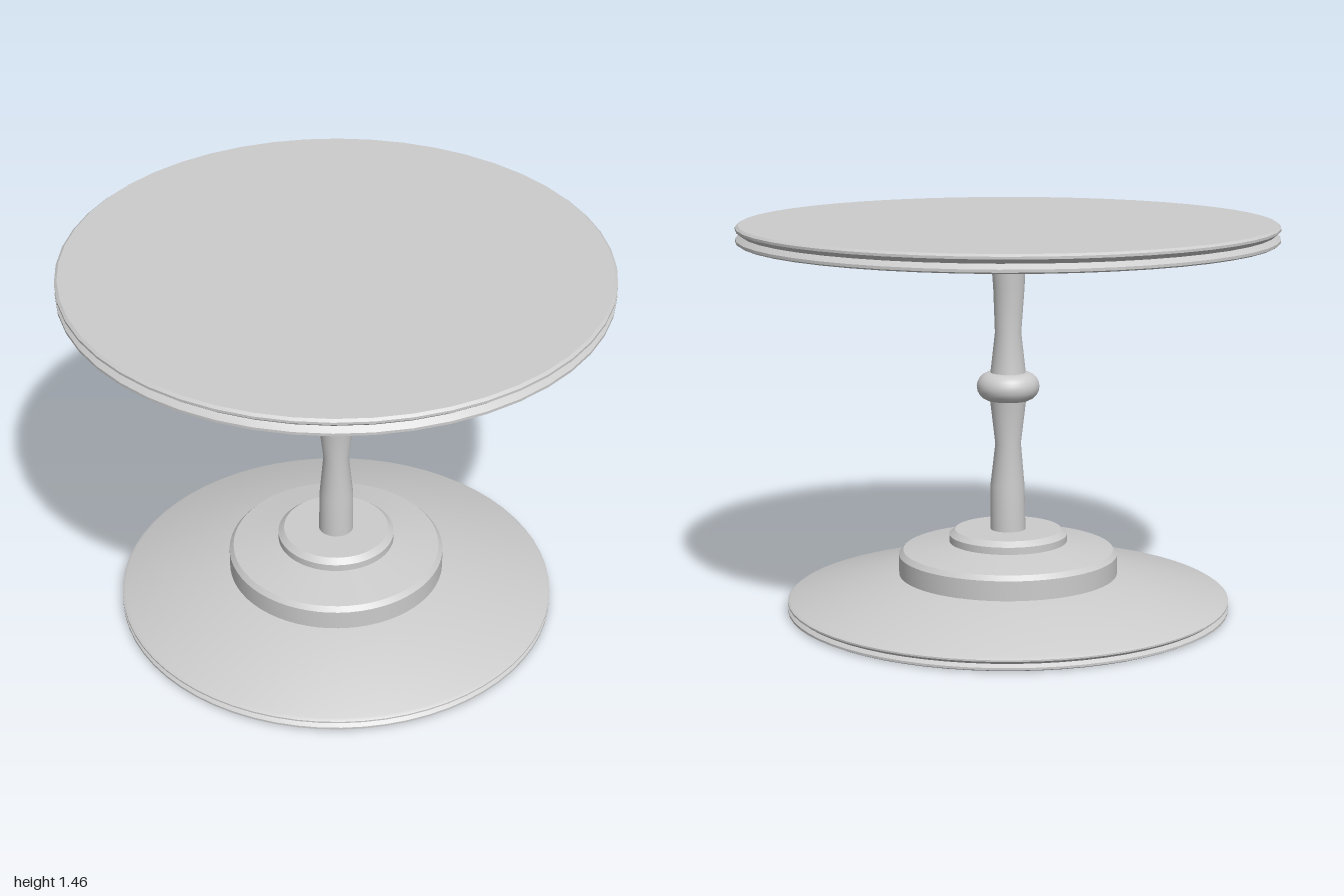
import * as THREE from 'three';
import { toCreasedNormals } from 'three/addons/utils/BufferGeometryUtils.js';

const material = new THREE.MeshStandardMaterial({ color: 0xcccccc });

// Turn a [radius, height] profile, listed bottom to top, around the y axis
function lathe(profile, segments = 48) {
  return new THREE.LatheGeometry(profile.map(([r, y]) => new THREE.Vector2(r, y)), segments);
}

function addPart(group, name, geometry) {
  const mesh = new THREE.Mesh(geometry, material);
  mesh.name = name;
  group.add(mesh);
  return mesh;
}

// Stem section lofted through round rings [y, radius, z offset]
function stemSection(rings) {
  const geometry = lathe(rings.map(([y, r]) => [r, y]), 32);
  const pos = geometry.attributes.position;
  for (let i = 0; i < pos.count; i++) {
    pos.setZ(i, pos.getZ(i) + rings[i % rings.length][2]);
  }
  return geometry;
}

export function createModel() {
  const table = new THREE.Group();
  table.name = 'pedestalTable';

  // Stepped foot with a grooved rim
  addPart(table, 'base', toCreasedNormals(lathe([
    [0, 0], [0.82, 0], [0.832, 0.006], [0.832, 0.014], [0.818, 0.025],
    [0.832, 0.036], [0.832, 0.042], [0.82, 0.05],
    [0.412, 0.133], [0.412, 0.207], [0.396, 0.225],
    [0.222, 0.256], [0.222, 0.283], [0.2, 0.302], [0, 0.302],
  ], 64), 0.4));

  // Gently swaying stem, one section below and one above the collar
  addPart(table, 'lowerStem', stemSection([
    [0.29, 0.066, 0], [0.47, 0.064, 0.01], [0.63, 0.048, 0], [0.8, 0.068, 0],
  ]));
  addPart(table, 'upperStem', stemSection([
    [0.89, 0.067, 0], [1.05, 0.049, 0], [1.22, 0.058, -0.013], [1.4, 0.069, 0],
  ]));

  // Rounded collar
  const collar = addPart(table, 'collar', new THREE.TorusGeometry(0.064, 0.053, 20, 48));
  collar.rotation.x = Math.PI / 2;
  collar.position.y = 0.848;

  // Round top with a grooved edge
  addPart(table, 'tableTop', toCreasedNormals(lathe([
    [0, 1.395], [0.99, 1.395], [0.998, 1.4], [0.998, 1.41], [0.978, 1.427],
    [0.998, 1.443], [0.998, 1.452], [0.988, 1.46], [0, 1.46],
  ], 48), 0.4));

  return table;
}
